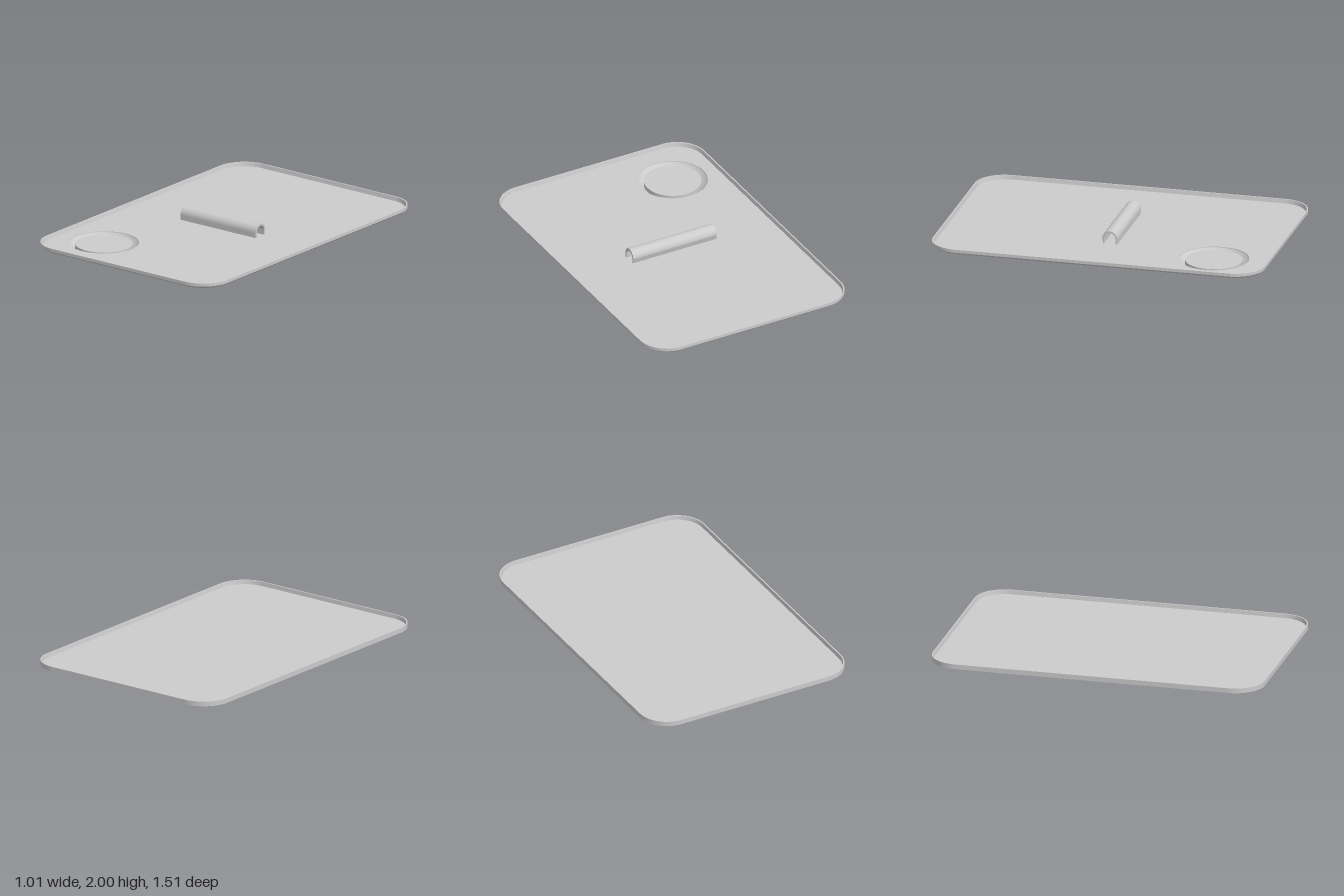
import * as THREE from 'three';

const material = new THREE.MeshStandardMaterial({ color: 0xcccccc, side: THREE.DoubleSide });
const HALF_W = 0.505, HALF_D = 0.755, RADIUS = 0.135;

function add(parent, name, geometry, x = 0, y = 0, z = 0) {
  const mesh = new THREE.Mesh(geometry, material);
  mesh.name = name;
  mesh.position.set(x, y, z);
  parent.add(mesh);
  return mesh;
}

// Rounded rectangle outline, drawn in by an inset
function outline(inset) {
  const w = HALF_W - inset, d = HALF_D - inset, r = RADIUS - inset;
  const shape = new THREE.Shape();
  shape.absarc(w - r, d - r, r, 0, Math.PI / 2);
  shape.absarc(-w + r, d - r, r, Math.PI / 2, Math.PI);
  shape.absarc(-w + r, -d + r, r, Math.PI, Math.PI * 1.5);
  shape.absarc(w - r, -d + r, r, Math.PI * 1.5, Math.PI * 2);
  shape.closePath();
  return shape;
}

// One wall band between two [inset, height] rings
function bandGeometry([insetA, yA], [insetB, yB]) {
  const a = outline(insetA).getPoints(12), b = outline(insetB).getPoints(12);
  const n = a.length, positions = [], index = [];
  for (let i = 0; i < n; i++) {
    positions.push(a[i].x, yA, -a[i].y, b[i].x, yB, -b[i].y);
    const p = 2 * i, q = 2 * ((i + 1) % n);
    index.push(p, q, q + 1, p, q + 1, p + 1);
  }
  const geometry = new THREE.BufferGeometry();
  geometry.setAttribute('position', new THREE.Float32BufferAttribute(positions, 3));
  geometry.setIndex(index);
  geometry.computeVertexNormals();
  return geometry;
}

// Rim bands follow a section from the floor's underside, over the lip, to the inside
function addRim(parent, section) {
  const rim = new THREE.Group();
  rim.name = 'rim';
  for (let i = 0; i < section.length - 1; i++) add(rim, 'rimBand', bandGeometry(section[i], section[i + 1]));
  parent.add(rim);
}

function addSheet(parent, name, shape, y) {
  add(parent, name, new THREE.ShapeGeometry(shape, 48).rotateX(-Math.PI / 2), 0, y, 0);
}

export function createModel() {
  const model = new THREE.Group();

  // Lower tray: flat floor with a low upright rim
  const lower = new THREE.Group();
  lower.name = 'lowerTray';
  addSheet(lower, 'underside', outline(0), 0);
  addSheet(lower, 'floor', outline(0.009), 0.004);
  addRim(lower, [[0, 0], [0, 0.022], [0.006, 0.022], [0.009, 0.004]]);
  model.add(lower);

  // Upper tray: floor sheet with a hole for the round well, and a flared rim
  const upper = new THREE.Group();
  upper.name = 'upperTray';
  const wellX = -0.28, wellZ = 0.5, wellR = 0.155, discR = 0.127;
  for (const [name, inset, y] of [['underside', 0.01, 1.937], ['floor', 0.01, 1.942]]) {
    const shape = outline(inset);
    shape.holes.push(new THREE.Path().absarc(wellX, -wellZ, wellR, 0, Math.PI * 2, true));
    addSheet(upper, name, shape, y);
  }
  addRim(upper, [[0.01, 1.937], [0, 1.946], [0, 1.96], [0.006, 1.96], [0.01, 1.942]]);

  // Sloping well, with a round disc seated in it
  const well = [[wellR, 1.942], [wellR, 1.937], [0.143, 1.927], [0.132, 1.919], [discR, 1.917]]
    .map(([r, y]) => new THREE.Vector2(r, y));
  add(upper, 'well', new THREE.LatheGeometry(well, 48), wellX, 0, wellZ);
  add(upper, 'disc', new THREE.CylinderGeometry(discR, discR, 0.021, 48), wellX, 1.9265, wellZ);
  model.add(upper);

  // Arched handle whose legs pass through the tray
  const outer = 0.035, inner = 0.026, leg = -0.036;
  const arch = new THREE.Shape();
  arch.moveTo(outer, leg);
  arch.absarc(0, 0, outer, 0, Math.PI);
  arch.lineTo(-outer, leg);
  arch.lineTo(-inner, leg);
  arch.absarc(0, 0, inner, Math.PI, 0, true);
  arch.lineTo(inner, leg);
  arch.closePath();
  const handle = new THREE.ExtrudeGeometry(arch, { depth: 0.42, bevelEnabled: false, curveSegments: 24 });
  handle.translate(0, 0, -0.21).rotateY(Math.PI / 2);
  add(model, 'handle', handle, 0, 1.965, 0.007);

  return model;
}
